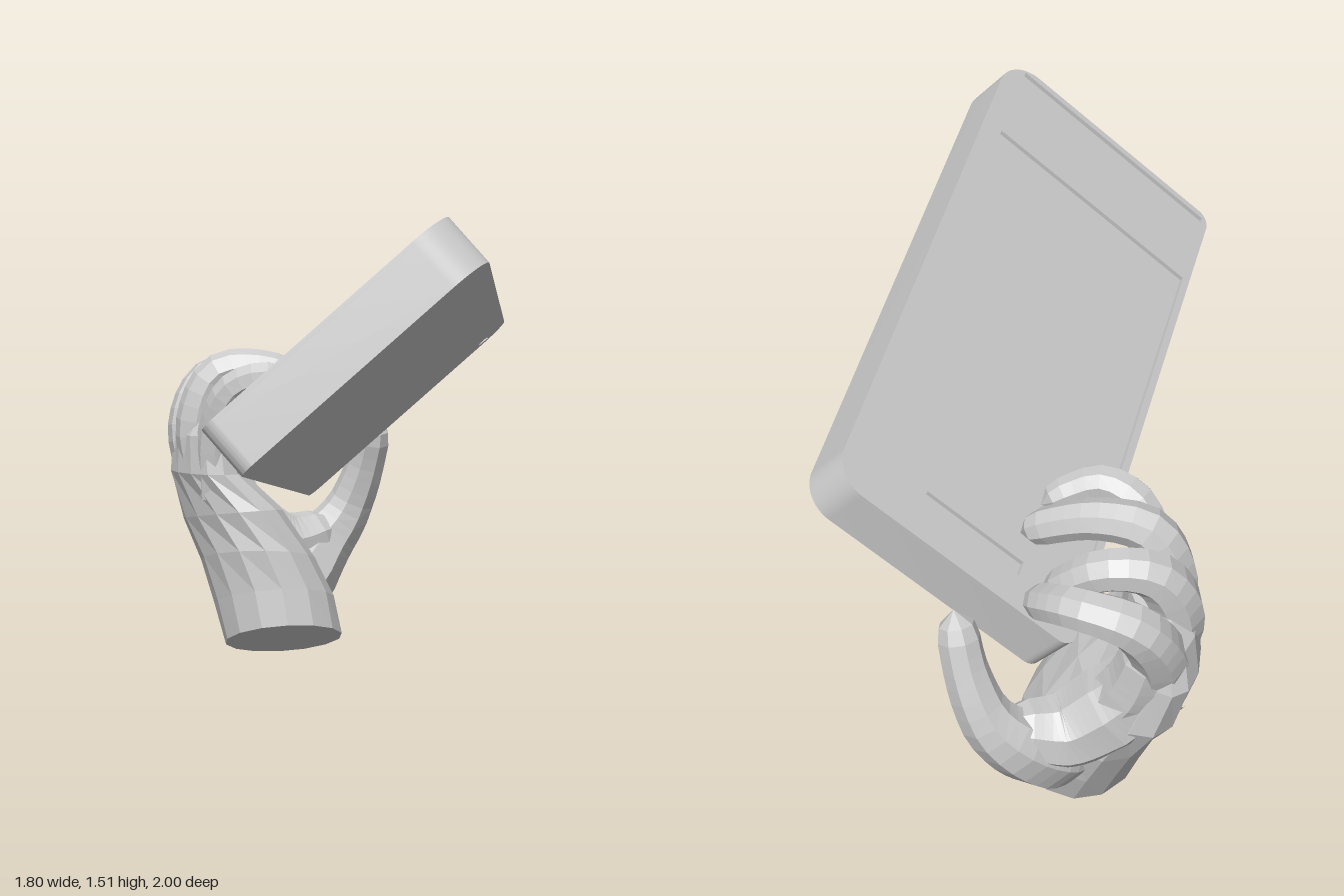
import * as THREE from 'three';
import { toCreasedNormals } from 'three/addons/utils/BufferGeometryUtils.js';

const V = (p) => new THREE.Vector3(...p);
const smooth = new THREE.MeshStandardMaterial({ color: 0xcccccc });
const faceted = new THREE.MeshStandardMaterial({ color: 0xcccccc, flatShading: true });

function addMesh(parent, name, geometry, material) {
  const mesh = new THREE.Mesh(geometry, material);
  mesh.name = name;
  parent.add(mesh);
  return mesh;
}

// Rectangle with its own radius at each corner: [left-low, right-low, right-high, left-high]
function roundedRect(x0, y0, x1, y1, [a, b, c, d]) {
  const s = new THREE.Shape();
  s.moveTo(x0 + a, y0);
  s.lineTo(x1 - b, y0);
  s.absarc(x1 - b, y0 + b, b, -Math.PI / 2, 0);
  s.lineTo(x1, y1 - c);
  s.absarc(x1 - c, y1 - c, c, 0, Math.PI / 2);
  s.lineTo(x0 + d, y1);
  s.absarc(x0 + d, y1 - d, d, Math.PI / 2, Math.PI);
  s.lineTo(x0, y0 + a);
  s.absarc(x0 + a, y0 + a, a, Math.PI, Math.PI * 1.5);
  return s;
}

function rectHole(x0, y0, x1, y1) {
  return new THREE.Path([[x0, y0], [x0, y1], [x1, y1], [x1, y0]].map((p) => new THREE.Vector2(...p)));
}

// Tablet: solid slab with a thin face plate cut out for screen and slots
function buildTablet() {
  const tablet = new THREE.Group();
  tablet.name = 'tablet';
  const outline = () => roundedRect(-0.92, -0.432, 0.92, 0.42, [0.12, 0.1, 0.05, 0.045]);
  const extrude = (shape, depth) =>
    toCreasedNormals(new THREE.ExtrudeGeometry(shape, { depth, bevelEnabled: false, curveSegments: 8 }), 0.6);

  addMesh(tablet, 'tabletBody', extrude(outline(), 0.146), smooth);
  const plate = outline();
  plate.holes.push(
    rectHole(-0.61, -0.365, 0.64, 0.395),    // screen
    rectHole(0.765, -0.16, 0.815, 0.19),     // speaker slot
    rectHole(-0.9, -0.365, -0.88, 0.395),    // end groove
  );
  addMesh(tablet, 'facePlate', extrude(plate, 0.014), smooth).position.z = 0.146;
  const lens = addMesh(tablet, 'rearLens', new THREE.CylinderGeometry(0.02, 0.02, 0.006, 16), smooth);
  lens.rotation.x = Math.PI / 2;
  lens.position.set(0.85, -0.338, -0.001);

  // Tilted frame: length, width and face normal
  const length = V([0.694, -0.183, -0.7]).normalize();
  const normal = V([-0.382, 0.731, -0.57]).normalize();
  const width = normal.clone().cross(length).normalize();
  normal.crossVectors(length, width);
  tablet.quaternion.setFromRotationMatrix(new THREE.Matrix4().makeBasis(length, width, normal));
  tablet.position.set(0.04, 0.956, 0.204);
  return tablet;
}

// Tapered low-poly tube with a rounded tip
function limb(points, radii, sides = 8, segments = 18) {
  const curve = new THREE.CatmullRomCurve3(points.map(V));
  const geo = new THREE.TubeGeometry(curve, segments, 1, sides, false);
  const pos = geo.attributes.position;
  const v = new THREE.Vector3();
  for (let i = 0; i <= segments; i++) {
    const t = i / segments;
    const k = Math.min(Math.floor(t * (radii.length - 1)), radii.length - 2);
    let r = THREE.MathUtils.lerp(radii[k], radii[k + 1], t * (radii.length - 1) - k);
    if (t > 0.88) r *= Math.sqrt(Math.max(0, 1 - ((t - 0.88) / 0.12) ** 2));
    const c = curve.getPointAt(t);
    for (let j = 0; j <= sides; j++) {
      const n = i * (sides + 1) + j;
      v.fromBufferAttribute(pos, n).sub(c).multiplyScalar(r).add(c);
      pos.setXYZ(n, v.x, v.y, v.z);
    }
  }
  return geo;
}

// Closed loft through elliptical rings: [centre, half axis a, half axis b]
function loft(rings, sides) {
  const verts = [], index = [];
  rings.forEach(([c, a, b]) => {
    for (let j = 0; j < sides; j++) {
      const t = (j / sides) * Math.PI * 2;
      const p = V(c).addScaledVector(V(a), Math.cos(t)).addScaledVector(V(b), Math.sin(t));
      verts.push(p.x, p.y, p.z);
    }
  });
  const last = (rings.length - 1) * sides;
  verts.push(...rings[0][0], ...rings[rings.length - 1][0]);
  const low = rings.length * sides;
  for (let j = 0; j < sides; j++) {
    const k = (j + 1) % sides;
    for (let i = 0; i < last; i += sides) {
      index.push(i + j, i + k, i + sides + j, i + k, i + sides + k, i + sides + j);
    }
    index.push(low, k, j, low + 1, last + j, last + k);
  }
  const geo = new THREE.BufferGeometry();
  geo.setAttribute('position', new THREE.Float32BufferAttribute(verts, 3));
  geo.setIndex(index);
  geo.computeVertexNormals();
  return geo;
}

function buildHand() {
  const hand = new THREE.Group();
  hand.name = 'hand';

  // Wrist and palm
  addMesh(hand, 'palm', loft([
    [[0.21, 0.08, -0.5], [-0.03, 0.078, 0.19], [0.185, -0.03, 0.03]],
    [[0.21, 0.2, -0.55], [-0.03, 0.07, 0.21], [0.19, -0.03, 0.02]],
    [[0.19, 0.33, -0.61], [-0.05, 0.06, 0.23], [0.18, -0.03, 0.02]],
    [[0.15, 0.47, -0.69], [-0.08, 0.05, 0.25], [0.14, 0, 0.04]],
    [[0.1, 0.61, -0.76], [-0.1, 0.02, 0.225], [0.095, 0, 0.055]],
    [[0.1, 0.73, -0.76], [-0.095, 0.02, 0.195], [0.085, 0, 0.055]],
    [[0.12, 0.81, -0.75], [-0.07, 0.02, 0.14], [0.06, 0, 0.04]],
  ], 14), faceted);

  // Thumb, the web that joins it to the palm, and the palm's thumb side
  addMesh(hand, 'thumb', limb([
    [0.29, 0.16, -0.6], [0.39, 0.225, -0.65], [0.515, 0.33, -0.68],
    [0.595, 0.43, -0.655], [0.63, 0.57, -0.605], [0.635, 0.765, -0.54],
  ], [0.1, 0.12, 0.1, 0.075, 0.063, 0.06]), faceted);
  addMesh(hand, 'thumbWeb', limb([
    [0.16, 0.55, -0.85], [0.26, 0.42, -0.77], [0.38, 0.34, -0.71], [0.55, 0.38, -0.66],
  ], [0.115, 0.13, 0.115, 0.08]), faceted);
  addMesh(hand, 'palmThumbSide', limb([
    [0.3, 0.16, -0.6], [0.28, 0.35, -0.72], [0.22, 0.55, -0.84], [0.2, 0.74, -0.9],
  ], [0.08, 0.1, 0.1, 0.08]), faceted);

  // Fingers curling over the tablet edge
  const fingers = {
    indexFinger: [[0.16, 0.52, -0.84], [0.2, 0.69, -0.91], [0.29, 0.83, -0.92],
      [0.395, 0.87, -0.83], [0.43, 0.83, -0.72], [0.435, 0.77, -0.62]],
    middleFinger: [[0.12, 0.55, -0.79], [0.1, 0.76, -0.84], [0.17, 0.9, -0.83],
      [0.28, 0.92, -0.77], [0.35, 0.85, -0.69], [0.38, 0.77, -0.62]],
    ringFinger: [[0.08, 0.57, -0.71], [0.05, 0.78, -0.73], [0.1, 0.93, -0.69],
      [0.2, 0.95, -0.6], [0.29, 0.91, -0.51], [0.36, 0.85, -0.43]],
    littleFinger: [[0.05, 0.55, -0.62], [0.03, 0.76, -0.6], [0.04, 0.9, -0.53],
      [0.1, 0.94, -0.45], [0.18, 0.91, -0.4], [0.26, 0.87, -0.37]],
  };
  Object.entries(fingers).forEach(([name, path], i) => {
    const s = [1, 1, 0.97, 0.87][i];
    addMesh(hand, name, limb(path, [0.085, 0.083, 0.075, 0.064, 0.058, 0.052].map((r) => r * s)), faceted);
  });
  return hand;
}

export function createModel() {
  const model = new THREE.Group();
  model.name = 'handHoldingTablet';
  model.add(buildTablet(), buildHand());
  return model;
}
